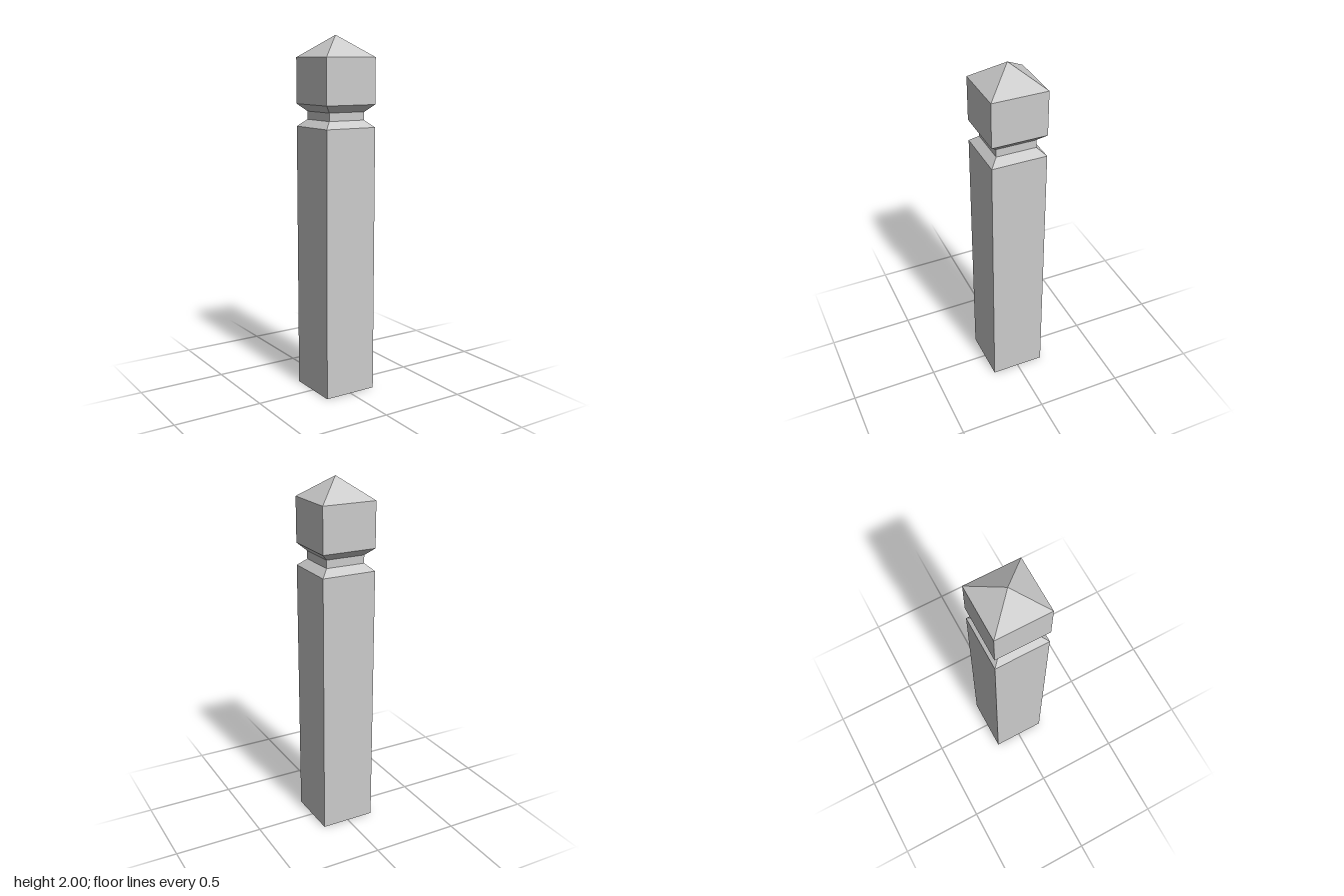
import * as THREE from 'three';

const WIDE = 0.156; // half width of shaft and head
const NECK = 0.113; // half width of the recessed neck

export function createModel() {
  const post = new THREE.Group();
  post.name = 'bollard';
  const material = new THREE.MeshStandardMaterial({ color: 0xcccccc, flatShading: true });

  // Square section tapering from half width a at y0 to half width b at y1
  function section(name, y0, y1, a, b) {
    const geometry = new THREE.CylinderGeometry(
      b * Math.SQRT2, a * Math.SQRT2, y1 - y0, 4, 1, true, Math.PI / 4);
    geometry.translate(0, (y0 + y1) / 2, 0);
    const mesh = new THREE.Mesh(geometry, material);
    mesh.name = name;
    post.add(mesh);
  }

  section('shaft', 0, 1.505, WIDE, WIDE);
  section('shoulder', 1.505, 1.544, WIDE, NECK);
  section('neck', 1.544, 1.589, NECK, NECK);
  section('headUnderside', 1.589, 1.629, NECK, WIDE);
  section('head', 1.629, 1.881, WIDE, WIDE);
  section('pyramidCap', 1.881, 2, WIDE, 0);

  // Underside closing the shaft, facing down
  const base = new THREE.Mesh(new THREE.PlaneGeometry(2 * WIDE, 2 * WIDE).rotateX(Math.PI / 2), material);
  base.name = 'base';
  post.add(base);

  return post;
}
